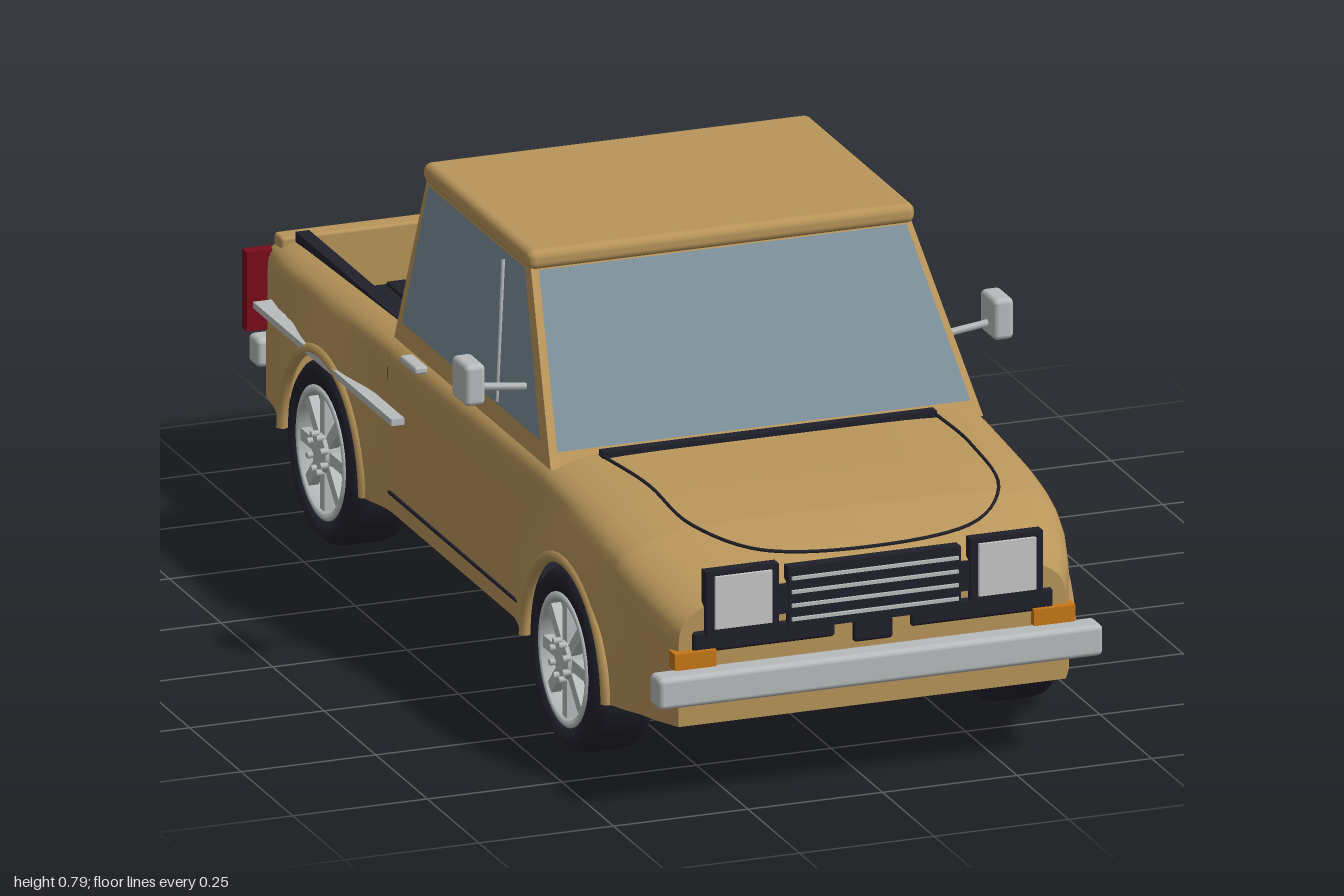
import * as THREE from 'three';
import { RoundedBoxGeometry } from 'three/addons/geometries/RoundedBoxGeometry.js';

const mat = (name, color, side = THREE.FrontSide) => {
  const m = new THREE.MeshStandardMaterial({ color, side });
  m.name = name;
  return m;
};

export function createModel() {
  const paint = mat('tan paint', 0xb8955a, THREE.DoubleSide);
  const dark = mat('black trim', 0x20202b);
  const silver = mat('silver', 0xb8bcbc);
  const glass = mat('glass', 0x7b8e99, THREE.DoubleSide);
  const lens = mat('lamp lens', 0xc8c8c8);
  const red = mat('red lens', 0x7a0c1c);
  const orange = mat('orange lens', 0xc87818);

  const model = new THREE.Group();
  model.name = 'pickupTruck';
  const add = (name, geo, m, parent = model) => {
    const mesh = new THREE.Mesh(geo, m);
    mesh.name = name;
    parent.add(mesh);
    return mesh;
  };
  // Box given by its extents; r rounds the edges
  const box = (name, m, [x0, x1], [y0, y1], [z0, z1], r = 0, parent = model) => {
    const s = [x1 - x0, y1 - y0, z1 - z0];
    const geo = r ? new RoundedBoxGeometry(...s, 3, r) : new THREE.BoxGeometry(...s);
    const mesh = add(name, geo, m, parent);
    mesh.position.set((x0 + x1) / 2, (y0 + y1) / 2, (z0 + z1) / 2);
    return mesh;
  };
  const pair = (name, m, [x0, x1], y, z, r = 0) => {
    box(name + 'Left', m, [x0, x1], y, z, r);
    box(name + 'Right', m, [-x1, -x0], y, z, r);
  };
  const rod = (name, m, points, radius, segments = 8) => add(name, new THREE.TubeGeometry(
    new THREE.CatmullRomCurve3(points.map(p => new THREE.Vector3(...p))), segments, radius, 6), m);
  const table = (pts, z) => {
    if (z <= pts[0][0]) return pts[0][1];
    for (let i = 1; i < pts.length; i++) {
      const [a, va] = pts[i - 1], [b, vb] = pts[i];
      if (z <= b) return va + (vb - va) * (z - a) / (b - a);
    }
    return pts[pts.length - 1][1];
  };

  // Body shell: cross-sections along z, with the lower edge following the wheel arches
  const axles = [0.59, -0.585], archR = 0.19, sill = 0.148, bedZ = -0.315;
  const widths = [[-0.945, 0.4], [-0.85, 0.413], [-0.6, 0.416], [0.72, 0.418], [0.82, 0.408], [0.9, 0.385], [0.95, 0.36]];
  const tops = [[-0.945, 0.448], [-0.315, 0.468], [0.43, 0.478], [0.65, 0.468], [0.78, 0.453], [0.9, 0.42], [0.95, 0.393]];
  const bottom = z => {
    for (const c of axles) if (Math.abs(z - c) < archR) return sill + Math.sqrt(archR ** 2 - (z - c) ** 2);
    return sill;
  };
  const halfSection = (z, xStop) => {
    const W = table(widths, z), top = table(tops, z), y0 = top - 0.1, y1 = bottom(z);
    const n = table([[0.43, 6], [0.9, 3]], z), pts = [];
    const flare = y => axles.reduce((s, c) => {
      const d = Math.hypot(z - c, y - sill);
      return s + 0.02 * THREE.MathUtils.smoothstep(0.29 - d, 0, 0.1);
    }, 0);
    for (let i = 0; i < 6; i++) {
      const y = y1 + (y0 - y1) * i / 6;
      pts.push([W + flare(y), y]);
    }
    const tMax = Math.acos(Math.pow(xStop / W, n / 2));
    for (let i = 0; i <= 14; i++) {
      const t = tMax * i / 14, c = Math.max(0, Math.cos(t));
      const y = y0 + 0.1 * Math.pow(Math.sin(t), 2 / n);
      pts.push([(W + flare(y)) * Math.pow(c, 2 / n), y]);
    }
    return pts;
  };
  const fullSection = z => {
    const h = halfSection(z, 0);
    return [...h, ...h.slice(0, -1).reverse().map(([x, y]) => [-x, y])];
  };
  const loft = (zs, section) => {
    const pos = [], idx = [];
    let n = 0;
    zs.forEach((z, i) => {
      const s = section(z);
      n = s.length;
      s.forEach(([x, y]) => pos.push(x, y, z));
      if (i) for (let j = 0; j < n - 1; j++) {
        const a = (i - 1) * n + j, b = a + n;
        idx.push(a, a + 1, b, b, a + 1, b + 1);
      }
    });
    const g = new THREE.BufferGeometry();
    g.setAttribute('position', new THREE.Float32BufferAttribute(pos, 3));
    g.setIndex(idx);
    g.computeVertexNormals();
    return g;
  };
  const zs = [-0.945, bedZ, 0.43, 0.95];
  for (let z = -0.92; z < 0.94; z += 0.035) if (axles.every(c => Math.abs(z - c) > archR + 0.005)) zs.push(z);
  for (const c of axles) for (let k = 0; k <= 20; k++) zs.push(c - archR * Math.cos(Math.PI * k / 20));
  zs.sort((a, b) => a - b);
  add('cabAndHoodShell', loft(zs.filter(z => z >= bedZ), fullSection), paint);
  const bedSide = loft(zs.filter(z => z <= bedZ), z => halfSection(z, 0.355));
  add('bedSideLeft', bedSide, paint);
  add('bedSideRight', bedSide, paint).scale.x = -1;
  const nose = new THREE.Shape(fullSection(0.95).map(p => new THREE.Vector2(...p)));
  add('nosePanel', new THREE.ShapeGeometry(nose), paint).position.z = 0.95;

  // Cab frame: tapered block with glass plates on its four sides
  const lo = 0.46, hi = 0.757;
  const P = (x, y, z) => new THREE.Vector3(x, y, z);
  const c = {
    fl: P(0.402, lo, 0.44), fr: P(-0.402, lo, 0.44), bl: P(0.402, lo, -0.318), br: P(-0.402, lo, -0.318),
    FL: P(0.353, hi, 0.215), FR: P(-0.353, hi, 0.215), BL: P(0.353, hi, -0.285), BR: P(-0.353, hi, -0.285),
  };
  const quads = list => {
    const g = new THREE.BufferGeometry().setFromPoints(list.flatMap(([a, b, d, e]) => [a, b, d, a, d, e]));
    g.computeVertexNormals();
    return g;
  };
  const faces = {
    windshield: [c.fr, c.fl, c.FL, c.FR], rearWindow: [c.bl, c.br, c.BR, c.BL],
    sideWindowLeft: [c.fl, c.bl, c.BL, c.FL], sideWindowRight: [c.br, c.fr, c.FR, c.BR],
  };
  add('cabFrame', quads(Object.values(faces)), paint);
  for (const [name, [a, b, d, e]] of Object.entries(faces)) {
    const out = b.clone().sub(a).cross(e.clone().sub(a)).normalize().multiplyScalar(0.004);
    const u0 = name === 'windshield' ? 0.018 : 0.04, v0 = name === 'windshield' ? 0.08 : 0.12;
    const at = (u, v) => a.clone().lerp(b, u).lerp(e.clone().lerp(d, u), v).add(out);
    add(name, quads([[at(u0, v0), at(1 - u0, v0), at(1 - u0, 0.97), at(u0, 0.97)]]), glass);
  }
  box('roof', paint, [-0.36, 0.36], [0.748, 0.785], [-0.295, 0.225], 0.015);
  box('cowlVent', dark, [-0.31, 0.31], [0.474, 0.486], [0.435, 0.455]);

  // Load bed
  box('bedFrontWall', paint, [-0.37, 0.37], [0.33, 0.467], [-0.33, -0.312]);
  box('bedFloor', dark, [-0.36, 0.36], [0.328, 0.34], [-0.91, -0.325]);
  for (let i = 0; i < 6; i++) {
    const x = -0.265 + i * 0.106;
    box('bedRib', dark, [x - 0.035, x + 0.035], [0.34, 0.348], [-0.9, -0.335], 0.003);
  }
  pair('bedInnerWall', dark, [0.335, 0.36], [0.34, 0.458], [-0.905, -0.325]);
  box('tailgate', paint, [-0.385, 0.385], [sill, 0.448], [-0.947, -0.908], 0.006);
  box('tailgateHandle', silver, [-0.05, 0.05], [0.41, 0.422], [-0.953, -0.945]);
  pair('tailLamp', red, [0.365, 0.44], [0.275, 0.42], [-0.957, -0.933]);

  // Chassis and bumpers
  box('chassis', dark, [-0.3, 0.3], [0.11, 0.146], [-0.76, 0.74], 0.012);
  box('frontBumper', silver, [-0.413, 0.413], [0.197, 0.255], [0.945, 0.995], 0.01);
  box('rearBumper', silver, [-0.413, 0.413], [0.197, 0.25], [-1, -0.953], 0.01);

  // Grille, lamps and lower valance
  box('grille', dark, [-0.16, 0.16], [0.305, 0.42], [0.94, 0.962]);
  box('grilleSurround', dark, [-0.19, 0.19], [0.335, 0.388], [0.94, 0.958]);
  for (const y of [0.325, 0.35, 0.375, 0.4]) box('grilleBar', silver, [-0.155, 0.155], [y - 0.003, y + 0.003], [0.96, 0.967]);
  pair('headlampFrame', dark, [0.178, 0.313], [0.312, 0.43], [0.94, 0.962]);
  pair('headlampLens', lens, [0.192, 0.298], [0.325, 0.421], [0.96, 0.968]);
  pair('valance', dark, [0.07, 0.335], [0.28, 0.32], [0.94, 0.956], 0.007);
  box('hoodLatch', dark, [-0.037, 0.037], [0.265, 0.31], [0.94, 0.958], 0.007);
  pair('indicator', orange, [0.295, 0.372], [0.257, 0.287], [0.935, 0.965]);

  // Hood seam
  const seam = [[0.31, 0.478, 0.44], [0.3, 0.488, 0.65], [0.285, 0.468, 0.82], [0.2, 0.445, 0.92]];
  rod('hoodSeam', dark, [...seam, [0, 0.436, 0.95], ...seam.slice().reverse().map(([x, y, z]) => [-x, y, z])], 0.003, 60);

  // Side trim, mirrors and arch lips
  for (const [s, side] of [[1, 'Left'], [-1, 'Right']]) {
    const span = (a, b) => (s > 0 ? [a, b] : [-b, -a]);
    box('sideStrip' + side, silver, span(0.405, 0.441), [0.329, 0.341], [-0.9, -0.23]);
    box('sillLine' + side, dark, span(0.41, 0.421), [0.181, 0.186], [-0.3, 0.34]);
    box('doorHandle' + side, silver, span(0.405, 0.43), [0.448, 0.462], [-0.22, -0.145], 0.005);
    rod('windowDivider' + side, silver, [[s * 0.398, 0.5, 0.176], [s * 0.361, 0.735, 0.107]], 0.005);
    rod('mirrorArm' + side, silver, [[s * 0.385, 0.562, 0.285], [s * 0.48, 0.57, 0.275]], 0.007);
    box('mirror' + side, silver, span(0.472, 0.51), [0.545, 0.621], [0.238, 0.31], 0.01);
    box('mirrorGlass' + side, glass, span(0.477, 0.505), [0.553, 0.613], [0.234, 0.24]);
    for (const z of axles) {
      const lip = add('archLip' + side, new THREE.TorusGeometry(0.198, 0.011, 8, 28, Math.PI), paint);
      lip.rotation.y = Math.PI / 2;
      lip.position.set(s * 0.432, sill, z);
    }
  }

  // Wheels: axis along x, outer face toward +x
  const tyre = new THREE.LatheGeometry([[0.118, -0.055], [0.148, -0.06], [0.161, -0.048], [0.165, -0.03], [0.165, 0.03],
    [0.161, 0.048], [0.148, 0.06], [0.118, 0.055], [0.118, -0.055]].map(p => new THREE.Vector2(...p)), 40).rotateZ(-Math.PI / 2);
  const ring = new THREE.LatheGeometry([[0.106, 0.02], [0.12, 0.02], [0.12, 0.057], [0.106, 0.057], [0.106, 0.02]]
    .map(p => new THREE.Vector2(...p)), 40).rotateZ(-Math.PI / 2);
  const hub = new THREE.CylinderGeometry(0.034, 0.04, 0.03, 20).rotateZ(-Math.PI / 2);
  const spoke = new THREE.BoxGeometry(0.018, 0.09, 0.022).translate(0.044, 0.066, 0);
  const bolt = new THREE.CylinderGeometry(0.006, 0.006, 0.014, 8).rotateZ(-Math.PI / 2).translate(0.063, 0.034, 0);
  for (const z of axles) for (const s of [1, -1]) {
    const wheel = new THREE.Group();
    wheel.name = (z > 0 ? 'front' : 'rear') + 'Wheel' + (s > 0 ? 'Left' : 'Right');
    wheel.position.set(s * 0.38, 0.165, z);
    wheel.rotation.y = s > 0 ? 0 : Math.PI;
    add('tyre', tyre, dark, wheel);
    add('rim', ring, silver, wheel);
    add('hub', hub, silver, wheel).position.x = 0.045;
    for (let i = 0; i < 8; i++) {
      add('spoke', spoke, silver, wheel).rotation.x = i * Math.PI / 4;
      add('bolt', bolt, silver, wheel).rotation.x = (i + 0.5) * Math.PI / 4;
    }
    model.add(wheel);
  }
  return model;
}
